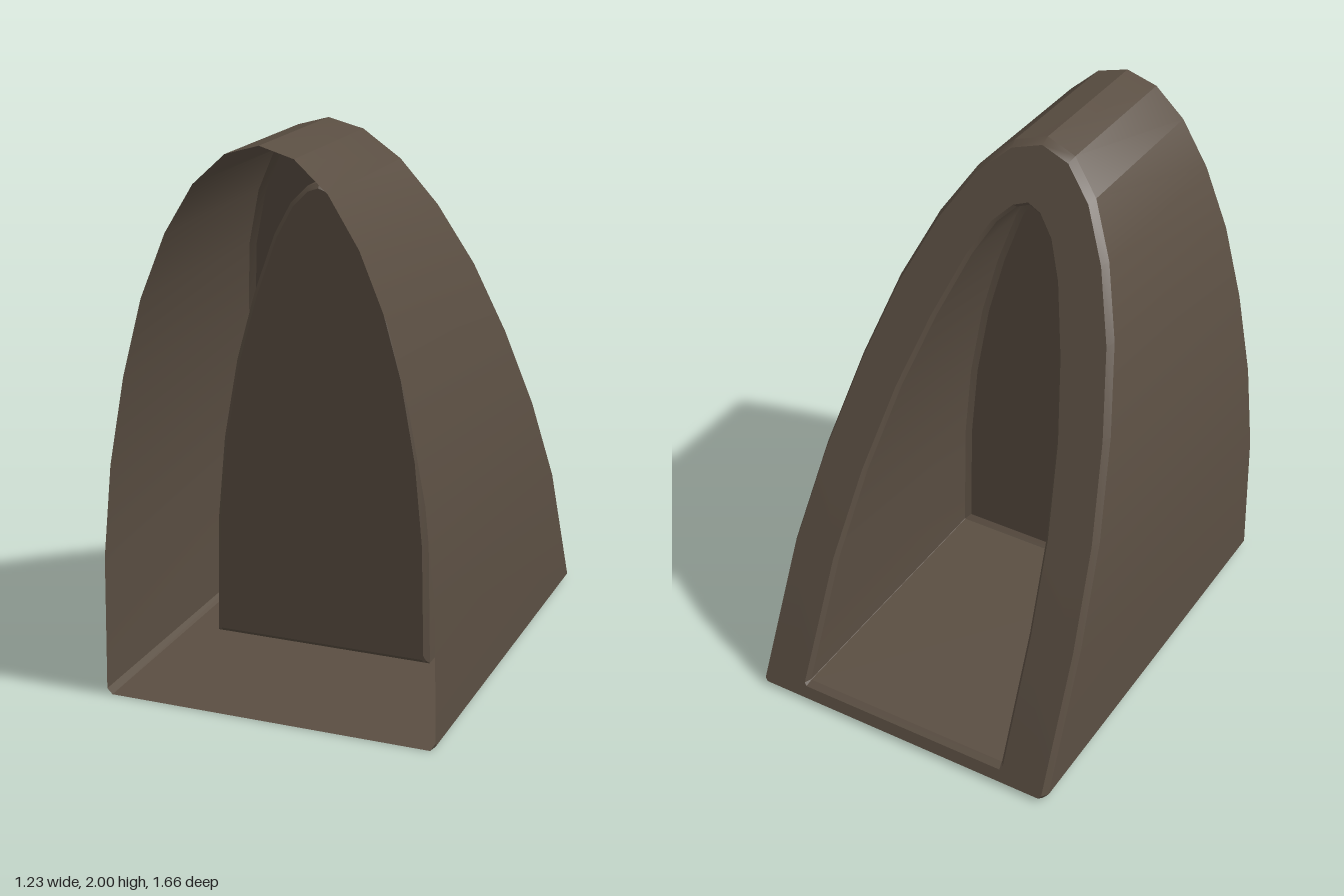
import * as THREE from 'three';
import { toCreasedNormals } from 'three/addons/utils/BufferGeometryUtils.js';

// Right halves of the arch profiles, from the floor up to the apex
const OUTER = [[0.595, 0], [0.615, 0.02], [0.605, 0.52], [0.57, 0.86], [0.51, 1.18],
  [0.435, 1.46], [0.34, 1.69], [0.235, 1.86], [0.12, 1.965], [0, 2]];
const HOLE = [[0.42, 0.055], [0.43, 0.065], [0.42, 0.52], [0.39, 0.83], [0.335, 1.13],
  [0.265, 1.38], [0.185, 1.6], [0.12, 1.72], [0.055, 1.785], [0, 1.805]];

// Mirror a half profile into a closed counter-clockwise loop
const mirror = (half) => [...half, ...half.slice(0, -1).reverse().map(([x, y]) => [-x, y])];

// Move every point of a loop inwards along its normal
function inset(loop, d) {
  const n = loop.length;
  return loop.map(([x, y], i) => {
    const a = loop[(i + n - 1) % n], b = loop[(i + 1) % n];
    const n1 = new THREE.Vector2(y - a[1], a[0] - x).normalize();
    const n2 = new THREE.Vector2(b[1] - y, x - b[0]).normalize();
    const m = n1.clone().add(n2).normalize();
    const s = d / Math.max(m.dot(n1), 0.5);
    return [x - m.x * s, y - m.y * s];
  });
}

// Depth of the sloping back at a given height
const backZ = (y) => (y > 0.5 ? 0.2 - (1.98 - y) / 1.85 : -0.6 - (0.5 - y) * 0.47);

// Place a loop in space, with z fixed or depending on height
const place = (loop, z) => loop.map(([x, y]) => [x, y, typeof z === 'function' ? z(y) : z]);

// Skin a row of loops; optionally close the last one with a flat panel
function skin(loops, capped = false) {
  const pos = [];
  const n = loops[0].length;
  for (let k = 0; k < loops.length - 1; k++) {
    for (let i = 0; i < n; i++) {
      const j = (i + 1) % n;
      const a = loops[k][i], b = loops[k][j], c = loops[k + 1][i], d = loops[k + 1][j];
      pos.push(...a, ...c, ...b, ...b, ...c, ...d);
    }
  }
  if (capped) {
    const last = loops[loops.length - 1];
    const centre = [0, 0.8, last[0][2]];
    for (let i = 0; i < n; i++) pos.push(...centre, ...last[(i + 1) % n], ...last[i]);
  }
  const g = new THREE.BufferGeometry();
  g.setAttribute('position', new THREE.Float32BufferAttribute(pos, 3));
  return toCreasedNormals(g, 0.42);
}

export function createModel() {
  const group = new THREE.Group();
  group.name = 'archShelter';
  const material = new THREE.MeshStandardMaterial({ color: 0x5a4e42, side: THREE.DoubleSide });
  const add = (name, geometry) => {
    const mesh = new THREE.Mesh(geometry, material);
    mesh.name = name;
    group.add(mesh);
  };

  const outer = mirror(OUTER);
  const hole = mirror(HOLE);
  const rim = inset(outer, 0.015);
  const wall = inset(hole, 0.014);
  const panel = inset(hole, 0.032);

  // Thin outer shell, open at the front, with a bevelled back edge
  add('outerShell', skin([
    place(outer, 0.83),
    place(outer, (y) => backZ(y) + 0.03),
    place(rim, backZ),
  ]));

  // Sloping frame around the rear opening
  add('backFrame', skin([place(rim, backZ), place(hole, backZ)]));

  // Pocket running forward from the opening to an upright end panel
  add('pocket', skin([
    place(hole, backZ),
    place(wall, (y) => backZ(y) + 0.02),
    place(wall, 0.32),
    place(panel, 0.34),
  ], true));

  return group;
}
